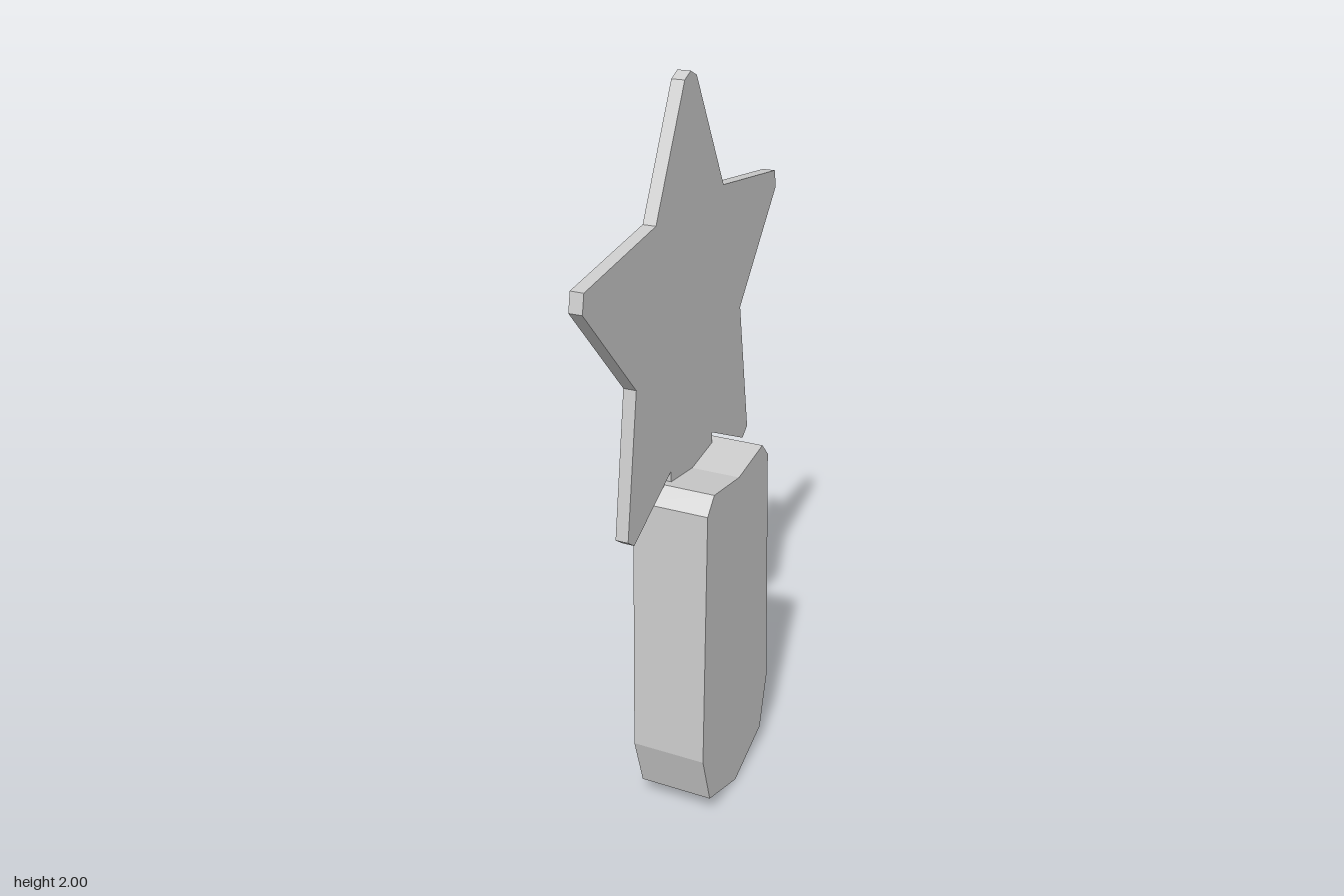
import * as THREE from 'three';

// Mirrors a half outline (top to bottom, [z, y]) and extrudes it along x from x0 to x1
function symmetricPlate(name, half, x0, x1, material) {
  const right = half.map(([z, y]) => new THREE.Vector2(z, y));
  const left = half.filter(([z]) => z > 0).map(([z, y]) => new THREE.Vector2(-z, y)).reverse();
  const geometry = new THREE.ExtrudeGeometry(new THREE.Shape([...right, ...left]), {
    depth: x1 - x0, bevelEnabled: false,
  });
  geometry.rotateY(Math.PI / 2);
  geometry.translate(x0, 0, 0);
  const mesh = new THREE.Mesh(geometry, material);
  mesh.name = name;
  return mesh;
}

export function createModel() {
  const group = new THREE.Group();
  group.name = 'starWand';
  const grey = new THREE.MeshStandardMaterial({ color: 0xcccccc, flatShading: true });

  // Thick faceted grip with a shallow V in its top
  const handle = [
    [0, 0.98], [0.157, 1.003], [0.197, 0.96], [0.225, 0.225], [0.18, 0.07], [0, 0.005],
  ];
  group.add(symmetricPlate('handle', handle, -0.103, 0.103, grey));

  // Thin five-pointed star with clipped tips and a tab sunk into the grip
  const star = [
    [0, 2], [0.033, 1.985], [0.192, 1.685], [0.538, 1.637], [0.548, 1.59],
    [0.308, 1.322], [0.369, 0.945], [0.337, 0.921], [0.127, 1.028], [0.127, 0.9], [0, 0.9],
  ];
  group.add(symmetricPlate('star', star, -0.064, -0.03, grey));

  return group;
}
